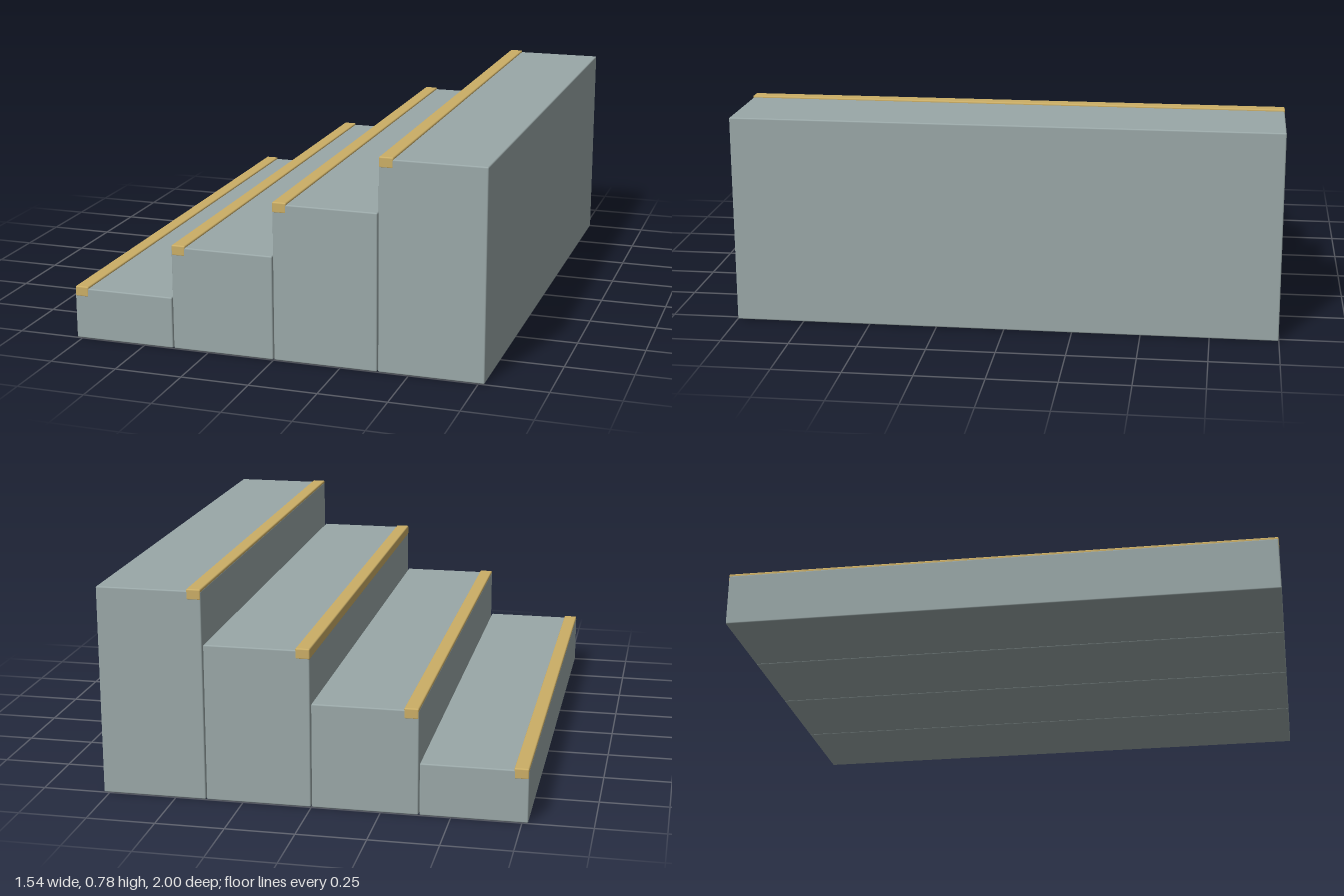
import * as THREE from 'three';
import { RoundedBoxGeometry } from 'three/addons/geometries/RoundedBoxGeometry.js';

const COUNT = 4, PITCH = 0.3867, WIDTH = 0.383, RISE = 0.193, LENGTH = 2;
const BEVEL = 0.005, SKIN = 0.0008;

const stone = new THREE.MeshStandardMaterial({ color: 0x9aa8a8 });
stone.name = 'greyStone';
const brass = new THREE.MeshStandardMaterial({ color: 0xcbae66 });
brass.name = 'brass';

// Softly bevelled block given by its minimum x, minimum y and size
function block(name, material, x, y, w, h, d) {
  const mesh = new THREE.Mesh(new RoundedBoxGeometry(w, h, d, 2, BEVEL), material);
  mesh.name = name;
  mesh.position.set(x + w / 2, y + h / 2, 0);
  return mesh;
}

export function createModel() {
  const stairs = new THREE.Group();
  stairs.name = 'stairs';
  const start = -((COUNT - 1) * PITCH + WIDTH) / 2;

  for (let i = 0; i < COUNT; i++) {
    const step = new THREE.Group();
    step.name = `step${i + 1}`;
    const x = start + i * PITCH;
    const top = RISE * (i + 1);

    // Solid step reaching down to the floor
    step.add(block('stepBlock', stone, x, 0, WIDTH, top, LENGTH - 2 * SKIN));

    // Edge strip raised above the tread; the third one stands proud of its riser
    const inset = i === 2 ? -SKIN : SKIN;
    step.add(block('nosing', brass, x + inset, top - 0.032, 0.052, 0.039, LENGTH));
    stairs.add(step);
  }
  return stairs;
}
